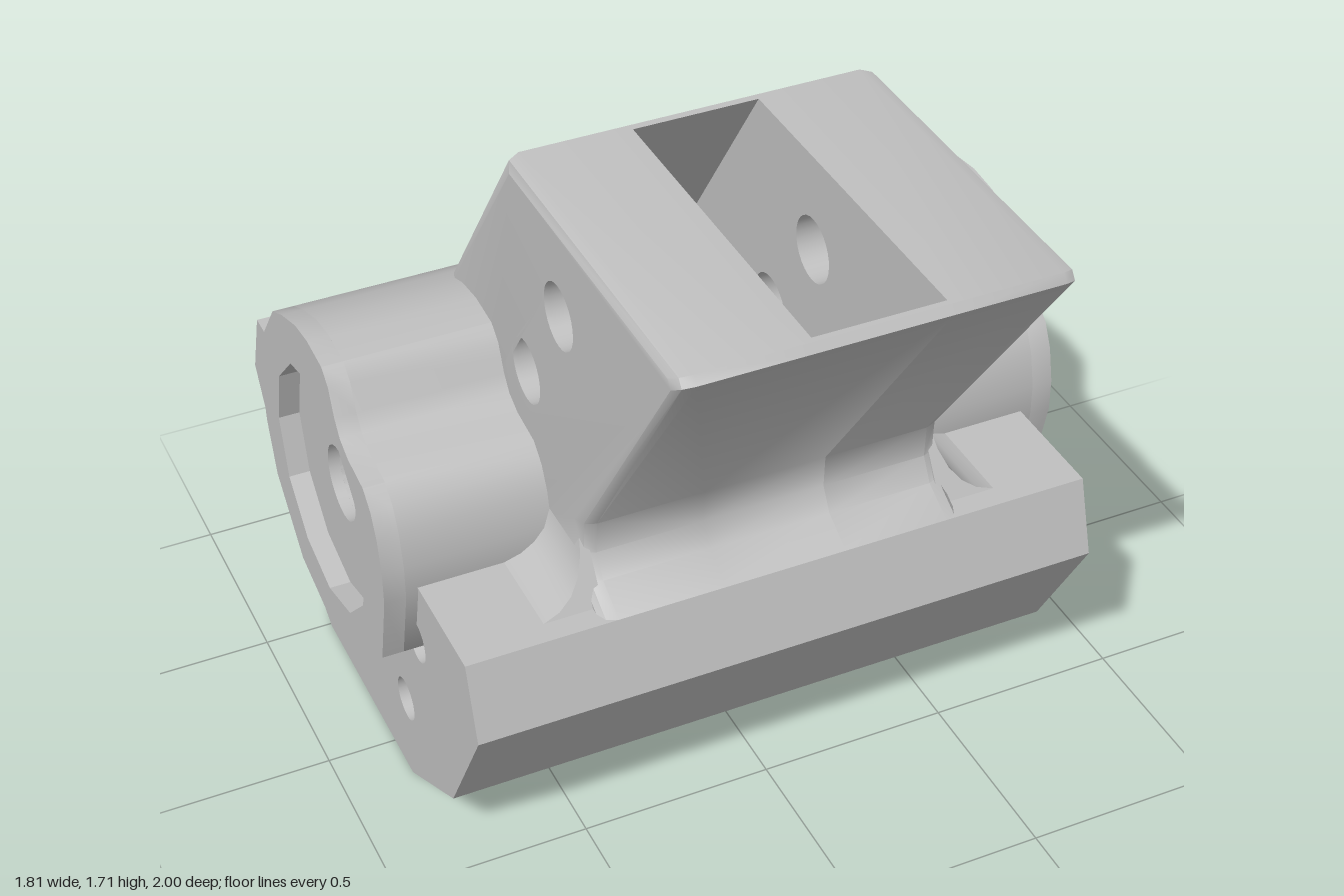
import * as THREE from 'three';
import { toCreasedNormals } from 'three/addons/utils/BufferGeometryUtils.js';

const AXLE = [-0.175, 0.73]; // z, y of the barrel axis

// Side outline from [z, y] points, with round or polygonal holes [z, y, radius, sides]
function outline(points, holes = []) {
  const shape = new THREE.Shape(points.map(([z, y]) => new THREE.Vector2(-z, y)));
  for (const [z, y, r, sides = 28] of holes) {
    const ring = [];
    for (let i = 0; i < sides; i++) {
      const a = (i / sides) * Math.PI * 2;
      ring.push(new THREE.Vector2(-z + r * Math.cos(a), y + r * Math.sin(a)));
    }
    shape.holes.push(new THREE.Path(ring));
  }
  return shape;
}

// Extrude a side outline from x0 to x1
function slab(shape, x0, x1, steps = 1) {
  const g = new THREE.ExtrudeGeometry(shape, { depth: x1 - x0, steps, bevelEnabled: false });
  g.rotateY(Math.PI / 2);
  g.translate(x0, 0, 0);
  return g;
}

// Mirror across x = 0, restoring the winding
function mirrored(g) {
  const m = g.clone().scale(-1, 1, 1);
  for (const name of ['position', 'normal', 'uv']) {
    const a = m.attributes[name];
    if (!a) continue;
    const n = a.itemSize;
    for (let i = 0; i < a.count; i += 3)
      for (let k = 0; k < n; k++) {
        const p = (i + 1) * n + k, q = (i + 2) * n + k;
        [a.array[p], a.array[q]] = [a.array[q], a.array[p]];
      }
  }
  m.computeVertexNormals();
  return m;
}

export function createModel() {
  const group = new THREE.Group();
  const metal = new THREE.MeshStandardMaterial({ color: 0xc0c0c0 });
  metal.name = 'light grey metal';

  function add(name, g, crease = 0.6) {
    const mesh = new THREE.Mesh(toCreasedNormals(g, crease), metal);
    mesh.name = name;
    group.add(mesh);
  }
  function addPair(name, g, crease) {
    add(name + 'Left', g, crease);
    add(name + 'Right', mirrored(g), crease);
  }
  // Half of the axle bore, running along a y = 0.73 edge
  const boreArc = (sign, from, to) => Array.from({ length: 13 }, (_, i) => {
    const a = from + (to - from) * (i / 12);
    return [AXLE[0] + 0.1 * Math.cos(a), AXLE[1] + sign * 0.1 * Math.sin(a)];
  });

  // Faceted base with bolt holes
  add('base', slab(outline([
    [0.58, 0.73], [0.64, 0.535], [0.435, 0.18], [0.13, 0], [-0.49, 0],
    [-0.795, 0.18], [-1, 0.535], [-0.93, 0.73], ...boreArc(-1, Math.PI, 0),
  ], [
    [0.24, 0.535, 0.058], [0.12, 0.245, 0.058], [-0.46, 0.245, 0.058], [-0.585, 0.535, 0.058],
  ]), -0.82, 0.82), 0.3);

  // Axle barrels with a recessed twelve-sided end face
  const barrel = [
    [-0.175, 0.283], [-0.4, 0.34], [-0.565, 0.5], [-0.612, 0.64], [-0.622, 0.74], [-0.58, 0.925],
    [-0.45, 1.09], [-0.37, 1.13], [-0.26, 1.17], [-0.17, 1.182], [-0.07, 1.173], [-0.03, 1.14],
    [0, 1.07], [0.03, 1.03], [0.08, 1.005], [0.18, 0.99], [0.225, 0.95], [0.255, 0.89],
    [0.275, 0.8], [0.275, 0.71], [0.225, 0.5], [0.05, 0.34],
  ];
  addPair('barrel', slab(outline(barrel, [[...AXLE, 0.1]]), 0.16, 0.85));
  addPair('barrelRim', slab(outline(barrel, [[...AXLE, 0.32, 12]]), 0.85, 0.905), 0.5);

  // Leaning clevis cheeks with pin holes and rounded outer edges
  const cheek = slab(outline([
    [0.985, 1.71], [1, 1.69], [0.46, 0.93], [0.455, 0.84], [0.49, 0.78], [0.58, 0.73], [0.1, 0.73],
    [-0.1, 1], [-0.37, 1.13], [0.05, 1.71],
  ], [[0.36, 1.465, 0.083], [0.15, 1.175, 0.083]]), 0, 3, 3);
  const rowX = [0.16, 0.435, 0.463, 0.475], rowInset = [0, 0, 0.012, 0.04];
  const p = cheek.attributes.position;
  for (let i = 0; i < p.count; i++) {
    const row = Math.round(p.getX(i)), y = p.getY(i), z = p.getZ(i), d = rowInset[row];
    const dz = z > 0.45 ? -1 : z < 0.06 ? 1 : 0;
    p.setXYZ(i, rowX[row], y > 1.68 ? y - d * 0.6 : y, z + dz * d);
  }
  cheek.computeVertexNormals();
  addPair('cheek', cheek);

  // Middle web: thin front and back walls around the sloping slot
  add('slotWeb', slab(outline([
    [0.985, 1.71], [0.97, 1.71], [0.37, 0.84], [-0.53, 0.84], [0.07, 1.71], [0.05, 1.71],
    [-0.37, 1.13], [-0.45, 1.09], [-0.58, 0.925], [-0.622, 0.74], [-0.622, 0.73],
    ...boreArc(1, Math.PI, 0),
    [0.58, 0.73], [0.49, 0.78], [0.455, 0.84], [0.46, 0.93], [1, 1.69],
  ]), -0.16, 0.16));

  // Rear fillet where the barrel meets the base
  add('rearFillet', slab(outline([
    [-0.6, 0.85], [-0.625, 0.78], [-0.66, 0.745], [-0.73, 0.729], [-0.5, 0.729],
  ]), -0.475, 0.475));

  // Flared fillets beside the front foot
  const flare = new THREE.Shape();
  flare.moveTo(0.45, 0.73);
  flare.lineTo(0.6, 0.73);
  flare.quadraticCurveTo(0.48, 0.75, 0.465, 0.9);
  flare.lineTo(0.45, 0.9);
  const flareGeo = new THREE.ExtrudeGeometry(flare, { depth: 0.26, curveSegments: 5, bevelEnabled: false });
  flareGeo.translate(0, 0, 0.2);
  // Pull the upper front of each flare back toward the foot
  const f = flareGeo.attributes.position;
  for (let i = 0; i < f.count; i++)
    if (f.getZ(i) > 0.4) f.setZ(i, 0.52 - 0.6 * (f.getY(i) - 0.73));
  flareGeo.computeVertexNormals();
  addPair('footFlare', flareGeo);

  return group;
}
